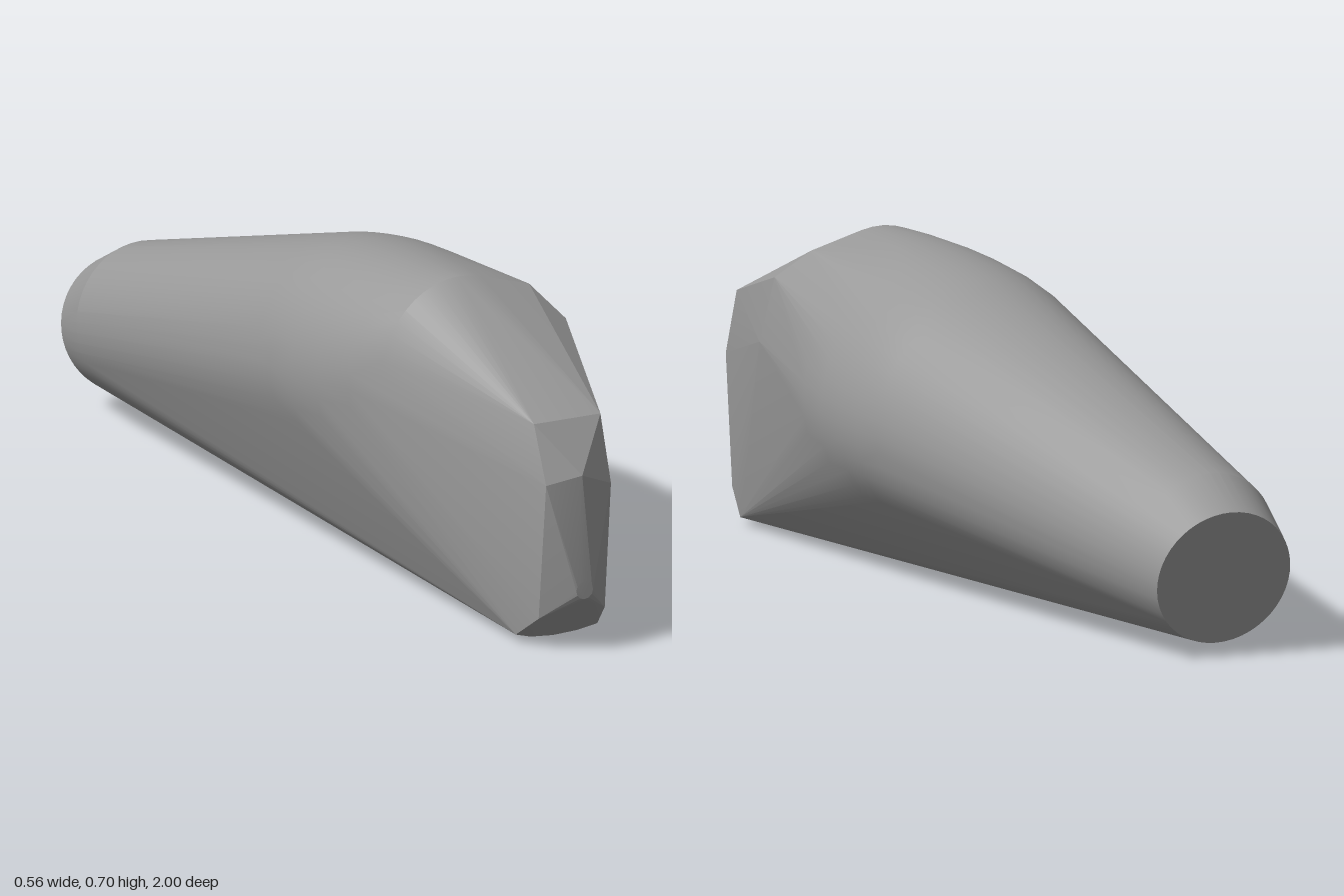
import * as THREE from 'three';
import { ConvexGeometry } from 'three/addons/geometries/ConvexGeometry.js';
import { toCreasedNormals } from 'three/addons/utils/BufferGeometryUtils.js';

// Elliptical cross-section; zAt may tilt it
function ring(cx, cy, rx, ry, zAt, lean = 0, n = 48) {
  const pts = [];
  for (let i = 0; i < n; i++) {
    const a = (i / n) * Math.PI * 2;
    const x = cx + rx * Math.cos(a);
    const y = cy + ry * Math.sin(a) - lean * (x - cx);
    pts.push(new THREE.Vector3(x, y, zAt(x, y)));
  }
  return pts;
}

export function createModel() {
  const group = new THREE.Group();
  group.name = 'taperedShell';
  const grey = new THREE.MeshStandardMaterial({ color: 0x999999 });
  grey.name = 'grey';

  const points = [
    // Tilted round end at the back and the slightly larger collar before it
    ...ring(-0.065, 0.175, 0.155, 0.147, (x, y) => -0.965 - 0.24 * (y - 0.175) + 0.06 * (x + 0.065)),
    ...ring(-0.08, 0.215, 0.17, 0.17, (x, y) => -0.845 - 0.2 * (y - 0.215)),
  ];

  // Swelling body: z, centre height, half width, half height
  const body = [
    [-0.03, 0.385, 0.268, 0.26],
    [0.04, 0.39, 0.279, 0.272],
    [0.11, 0.395, 0.282, 0.28],
    [0.2, 0.4, 0.279, 0.286],
    [0.3, 0.41, 0.266, 0.284],
    [0.4, 0.425, 0.242, 0.273],
    [0.485, 0.445, 0.212, 0.254],
  ];
  for (const [z, cy, rx, ry] of body) points.push(...ring(0, cy, rx, ry, () => z, 0.12));

  // Corners of the sloping brow, then the faceted nose and chin
  const corners = [
    [0.143, 0.66, 0.49], [0.195, 0.595, 0.56], [0.21, 0.45, 0.6],
    [-0.062, 0.5, 0.91], [0.097, 0.5, 0.91],
    [-0.065, 0.38, 0.972], [0.015, 0.395, 0.985], [0.099, 0.357, 0.955],
    [-0.069, 0.075, 0.945], [0.097, 0.072, 0.93],
    [-0.085, 0.02, 0.87], [0.11, 0.016, 0.87],
    [-0.045, 0.007, 0.862], [0.01, 0.001, 0.858], [0.065, 0.005, 0.862],
  ];
  points.push(...corners.map((c) => new THREE.Vector3(...c)));

  // Small round tip on the nose
  points.push(...ring(0.013, 0.143, 0.02, 0.02, () => 1, 0, 12));

  const shell = new THREE.Mesh(toCreasedNormals(new ConvexGeometry(points), 0.2), grey);
  shell.name = 'shell';
  group.add(shell);
  return group;
}
